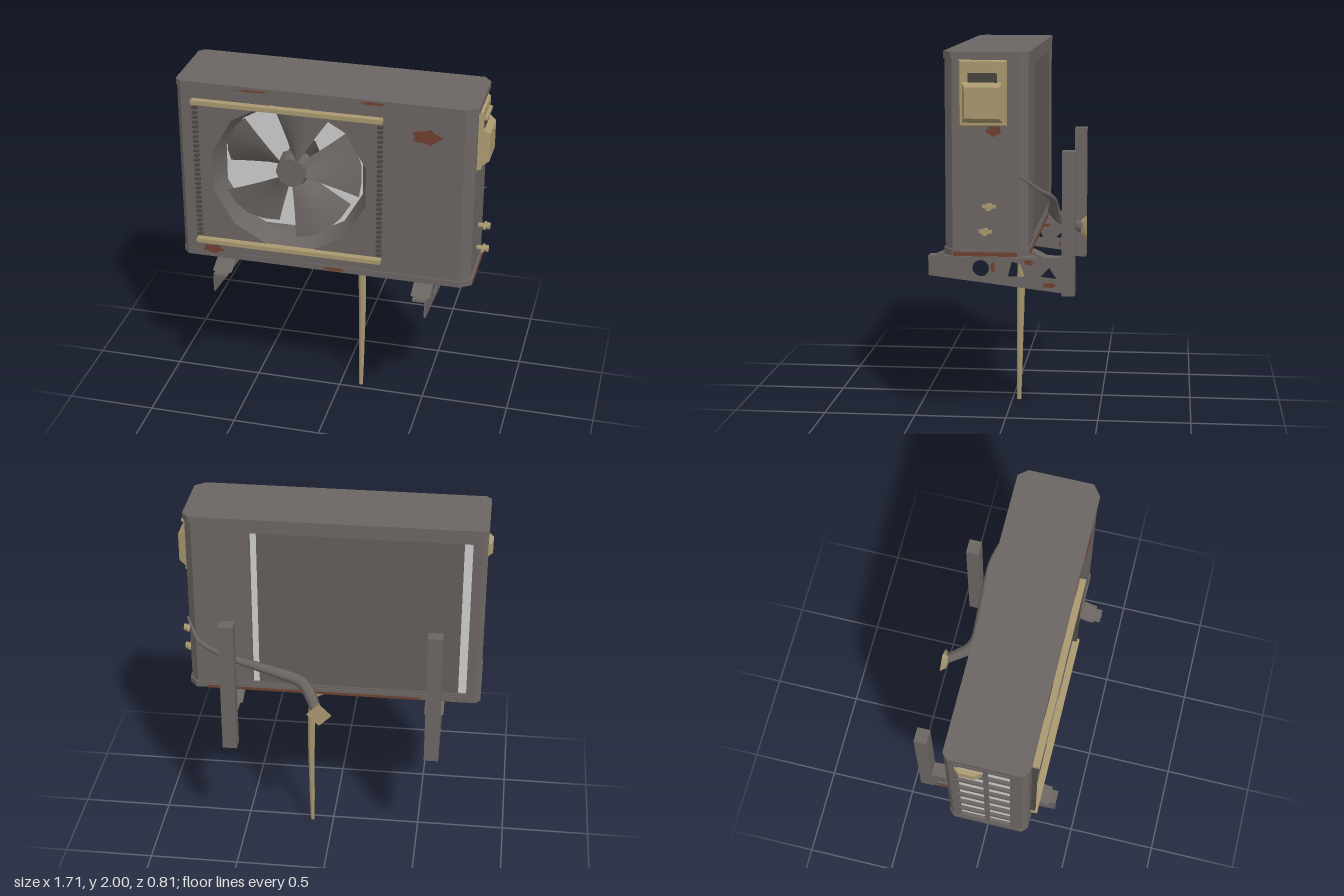
import * as THREE from 'three';

const paint = (name, color) => {
  const m = new THREE.MeshStandardMaterial({ color, side: THREE.DoubleSide });
  m.name = name;
  return m;
};

export function createModel() {
  const root = new THREE.Group();
  root.name = 'outdoorCoolingUnit';
  const grey = paint('weathered grey', 0x6b6562);
  const panelGrey = paint('rear panel grey', 0x635c59);
  const light = paint('pale aluminium', 0xcdcdcd);
  const beige = paint('yellowed plastic', 0xa8986f);
  const rust = paint('rust', 0x6e4030);
  const dark = paint('dark grey', 0x45413f);

  const add = (name, geo, mat, parent = root) => {
    const m = new THREE.Mesh(geo, mat);
    m.name = name;
    parent.add(m);
    return m;
  };
  // box given by its limits on each axis
  const box = (name, mat, x0, x1, y0, y1, z0, z1, parent) => {
    const g = new THREE.BoxGeometry(x1 - x0, y1 - y0, z1 - z0);
    g.translate((x0 + x1) / 2, (y0 + y1) / 2, (z0 + z1) / 2);
    return add(name, g, mat, parent);
  };
  const shapeOf = (pts) => new THREE.Shape(pts.map(([a, b]) => new THREE.Vector2(a, b)));
  const extrude = (shape, depth) => new THREE.ExtrudeGeometry(shape, { depth, bevelEnabled: false, curveSegments: 6 });
  // upright prism over an [x, z] outline
  const prism = (name, mat, pts, y0, y1) => {
    const g = extrude(shapeOf(pts.map(([x, z]) => [x, -z])), y1 - y0);
    g.rotateX(-Math.PI / 2).translate(0, y0, 0);
    return add(name, g, mat);
  };
  // [z, y] outline extruded along x
  const sideways = (name, mat, shape, x0, x1, parent) => {
    const g = extrude(shape, x1 - x0);
    g.rotateY(-Math.PI / 2).translate(x1, 0, 0);
    return add(name, g, mat, parent);
  };
  // irregular rounded patch outline
  const blob = (cx, cy, rx, ry, seed) => shapeOf(Array.from({ length: 14 }, (_, i) => {
    const a = i / 14 * Math.PI * 2, k = 0.82 + 0.18 * Math.sin(i * 2.3 + seed);
    return [cx + Math.cos(a) * rx * k, cy + Math.sin(a) * ry * k];
  }));
  const frontRust = (cx, cy, rx, ry, seed, z) =>
    add('frontRustPatch', extrude(blob(cx, cy, rx, ry, seed), 0.003).translate(0, 0, z), rust);
  // tube whose radius follows a list of values
  const taperTube = (name, mat, pts, radii, sides) => {
    const curve = new THREE.CatmullRomCurve3(pts.map((p) => new THREE.Vector3(...p)), false, 'catmullrom', 0.25);
    const seg = 24, g = new THREE.TubeGeometry(curve, seg, 1, sides, false);
    const pos = g.attributes.position, v = new THREE.Vector3();
    for (let i = 0; i <= seg; i++) {
      const c = curve.getPointAt(i / seg), f = i / seg * (radii.length - 1), k = Math.min(Math.floor(f), radii.length - 2);
      const r = THREE.MathUtils.lerp(radii[k], radii[k + 1], f - k);
      for (let j = 0; j <= sides; j++) {
        const n = i * (sides + 1) + j;
        v.fromBufferAttribute(pos, n).sub(c).multiplyScalar(r).add(c);
        pos.setXYZ(n, v.x, v.y, v.z);
      }
    }
    return add(name, g, mat);
  };

  // Lid and base tray share the chamfered footprint
  const footprint = [[-0.8, 0.29], [0.74, 0.295], [0.8, 0.25], [0.8, -0.1], [0.76, -0.15], [-0.8, -0.15], [-0.83, -0.12], [-0.83, 0.26]];
  prism('lid', grey, footprint, 1.965, 2);
  prism('baseTray', grey, footprint, 0.95, 0.985);

  // Casing: right compartment, left corner posts, rear edges
  prism('rightCompartment', grey, [[0.32, 0.288], [0.735, 0.288], [0.79, 0.245], [0.79, -0.1], [0.75, -0.145], [0.44, -0.145], [0.43, -0.1], [0.32, -0.1]], 0.98, 1.97);
  prism('frontLeftPost', grey, [[-0.78, 0.288], [-0.8, 0.288], [-0.825, 0.26], [-0.825, 0.22], [-0.78, 0.22]], 0.98, 1.97);
  prism('rearLeftPost', grey, [[-0.825, -0.08], [-0.825, -0.12], [-0.8, -0.145], [-0.75, -0.145], [-0.75, -0.13], [-0.8, -0.08]], 0.98, 1.97);
  box('rearTopRail', grey, -0.75, 0.44, 1.92, 1.97, -0.145, -0.13);
  box('rearBottomRail', grey, -0.75, 0.44, 0.98, 1.0, -0.145, -0.13);

  // Front panel with the twelve-sided fan opening
  const fx = -0.21, fy = 1.485;
  const front = shapeOf([[-0.79, 0.98], [0.33, 0.98], [0.33, 1.97], [-0.79, 1.97]]);
  front.holes.push(new THREE.Path(Array.from({ length: 12 }, (_, i) => {
    const a = -(i + 0.5) / 12 * Math.PI * 2;
    return new THREE.Vector2(fx + Math.cos(a) * 0.44, fy + Math.sin(a) * 0.44);
  })));
  add('frontPanel', extrude(front, 0.015).translate(0, 0, 0.273), grey);
  const shroud = new THREE.CylinderGeometry(0.44, 0.395, 0.12, 12, 1, true);
  shroud.rotateY(Math.PI / 12).rotateX(Math.PI / 2).translate(fx, fy, 0.228);
  add('fanShroud', shroud, grey);

  // Fan: hub, motor and five twisted blades
  const fan = new THREE.Group();
  fan.name = 'fan';
  fan.position.set(fx, fy + 0.015, 0.19);
  root.add(fan);
  add('fanHub', new THREE.CylinderGeometry(0.085, 0.1, 0.1, 8).rotateX(Math.PI / 2), grey, fan);
  add('fanMotor', new THREE.CylinderGeometry(0.08, 0.08, 0.2, 8).rotateX(Math.PI / 2).translate(0, 0, -0.15), dark, fan);
  for (let b = 0; b < 5; b++) {
    const g = new THREE.PlaneGeometry(2, 1, 4, 4), p = g.attributes.position;
    for (let i = 0; i < p.count; i++) {
      const u = p.getX(i), v = p.getY(i) + 0.5;
      const r = 0.08 + 0.31 * v - 0.02 * Math.max(0, u) * v, a = u * (0.42 + 0.04 * v);
      p.setXYZ(i, -Math.sin(a) * r, Math.cos(a) * r, -u * 0.055 + 0.02 * (1 - u * u));
    }
    g.computeVertexNormals();
    add('fanBlade', g, grey, fan).rotation.z = (b * 72 - 6) * Math.PI / 180;
  }

  // Guard: plastic rails above and below, wire stubs at both sides
  for (const y of [1.895, 1.06]) box('guardRail', beige, -0.735, 0.305, y - 0.012, y + 0.012, 0.285, 0.325);
  for (const x of [-0.72, 0.292])
    for (let i = 0; i < 28; i++) {
      const y = 1.095 + i * 0.0282;
      box('guardWireStub', dark, x - 0.014, x + 0.014, y - 0.004, y + 0.004, 0.285, 0.312);
    }

  // Heat exchanger and the plate over it
  box('rearCoil', light, -0.79, 0.45, 0.985, 1.965, -0.125, -0.105);
  box('sideCoil', light, -0.8, -0.785, 0.985, 1.965, -0.11, 0.24);
  box('rearPlate', panelGrey, -0.705, 0.4, 0.99, 1.93, -0.14, -0.126);

  // Left side grille and its handle
  for (const z of [0.07, 0.21]) box('grilleUpright', grey, -0.827, -0.812, 0.98, 1.97, z - 0.012, z + 0.012);
  for (let i = 0; i < 8; i++) {
    const y = 1.0 + i * 0.132;
    box('grilleSlat', grey, -0.827, -0.81, y - 0.014, y + 0.014, -0.09, 0.23);
  }
  const taperX = (g, sign, ky, kz) => {
    const p = g.attributes.position;
    for (let i = 0; i < p.count; i++)
      if (p.getX(i) * sign > 0) { p.setY(i, p.getY(i) * ky); p.setZ(i, p.getZ(i) * kz); }
    g.computeVertexNormals();
    return g;
  };
  add('leftHandle', taperX(new THREE.BoxGeometry(0.025, 0.07, 0.14), -1, 0.8, 0.6).translate(-0.84, 1.865, -0.02), beige);

  // Service cover on the right side
  const cover = new THREE.Group();
  cover.name = 'serviceCover';
  root.add(cover);
  add('coverPlate', taperX(new THREE.BoxGeometry(0.025, 0.34, 0.25), 1, 0.95, 0.92).translate(0.8, 1.79, 0.085), beige, cover);
  add('coverBulge', taperX(new THREE.BoxGeometry(0.04, 0.21, 0.21), 1, 0.75, 0.85).translate(0.83, 1.745, 0.085), beige, cover);
  box('coverRecess', dark, 0.81, 0.816, 1.845, 1.9, 0.01, 0.16, cover);
  box('coverGrip', beige, 0.81, 0.83, 1.895, 1.91, 0.005, 0.165, cover);

  // Service valves
  for (const [y, z] of [[1.215, 0.05], [1.085, 0.07]]) {
    add('valveStem', new THREE.CylinderGeometry(0.013, 0.016, 0.06, 6).rotateZ(Math.PI / 2).translate(0.82, y, z), beige);
    add('valveNut', new THREE.CylinderGeometry(0.02, 0.02, 0.015, 6).rotateZ(Math.PI / 2).translate(0.848, y, z), beige);
    box('valveHandle', beige, 0.82, 0.835, y - 0.008, y + 0.008, z - 0.035, z + 0.035);
  }

  // Refrigerant pipe with its wall box, and the drain hose
  taperTube('refrigerantPipe', grey, [[0.8, 1.37, -0.1], [0.72, 1.28, -0.21], [0.56, 1.22, -0.255], [0.18, 1.09, -0.235], [0.11, 1.04, -0.27], [0.05, 0.98, -0.38]],
    [0.005, 0.012, 0.018, 0.025, 0.032, 0.036, 0.03], 6);
  add('wallBox', new THREE.CylinderGeometry(0.07, 0.045, 0.03, 4, 1).rotateX(-Math.PI / 2).translate(0.035, 0.975, -0.392), beige);
  taperTube('drainHose', beige, [[-0.07, 0.94, -0.04], [0.0, 0.92, -0.045], [0.1, 0.88, -0.05], [0.12, 0.82, -0.05], [0.125, 0.5, -0.045], [0.122, 0, -0.037]],
    [0.008, 0.018, 0.023, 0.021, 0.018, 0.016, 0.012], 6);

  // Wall brackets: post, top flange, pierced web, arched foot
  for (const [cx, s] of [[-0.58, -1], [0.54, 1]]) {
    const br = new THREE.Group();
    br.name = 'wallBracket';
    root.add(br);
    box('wallPost', grey, cx - 0.04, cx + 0.04, 0.7, 1.47, -0.375, -0.305, br);
    box('armFlange', grey, cx - 0.038, cx + 0.038, 0.893, 0.905, -0.31, 0.405, br);
    const web = shapeOf([[0.405, 0.9], [-0.31, 0.9], [-0.31, 0.715], [0.405, 0.8]]);
    const hole = new THREE.Path();
    hole.absarc(0.125, 0.842, 0.045, 0, Math.PI * 2);
    web.holes.push(hole);
    for (const pts of [[[-0.02, 0.8], [-0.11, 0.8], [-0.085, 0.87], [-0.04, 0.88]], [[-0.19, 0.8], [-0.28, 0.79], [-0.24, 0.85]]])
      web.holes.push(new THREE.Path(pts.map(([a, b]) => new THREE.Vector2(a, b))));
    const wx = cx + s * 0.034;
    sideways('armWeb', grey, web, wx - 0.005, wx + 0.005, br);
    for (const [z, y, rz, ry] of [[-0.13, 0.878, 0.03, 0.018], [-0.24, 0.757, 0.045, 0.016], [0.06, 0.85, 0.014, 0.035]])
      sideways('bracketRust', rust, blob(z, y, rz, ry, z * 9), wx - 0.007, wx + 0.007, br);
    const foot = shapeOf([[0.37, 0.905], [0.3, 0.935], [0.2, 0.952], [-0.1, 0.952], [-0.16, 0.935], [-0.22, 0.905], [-0.2, 0.905], [-0.12, 0.928], [0.0, 0.94], [0.18, 0.94], [0.29, 0.922], [0.34, 0.905]]);
    sideways('rubberFoot', grey, foot, cx - 0.053, cx + 0.053, br);
  }

  // Rust on the casing
  frontRust(0.535, 1.82, 0.09, 0.048, 1, 0.287);
  frontRust(-0.65, 1.0, 0.07, 0.03, 2, 0.289);
  frontRust(0.04, 0.965, 0.07, 0.012, 3, 0.293);
  frontRust(-0.4, 1.98, 0.1, 0.007, 4, 0.291);
  frontRust(0.25, 1.982, 0.08, 0.01, 5, 0.293);
  sideways('sideRustPatch', rust, blob(0.03, 1.6, 0.045, 0.035, 2), 0.787, 0.793);
  box('sideRustEdge', rust, 0.799, 0.803, 0.95, 0.972, -0.09, 0.24);
  box('rearRustEdge', rust, -0.5, 0.7, 0.95, 0.965, -0.153, -0.149);
  box('baseRustEdge', rust, 0.72, 0.76, 0.947, 0.951, -0.12, 0.25);
  return root;
}
